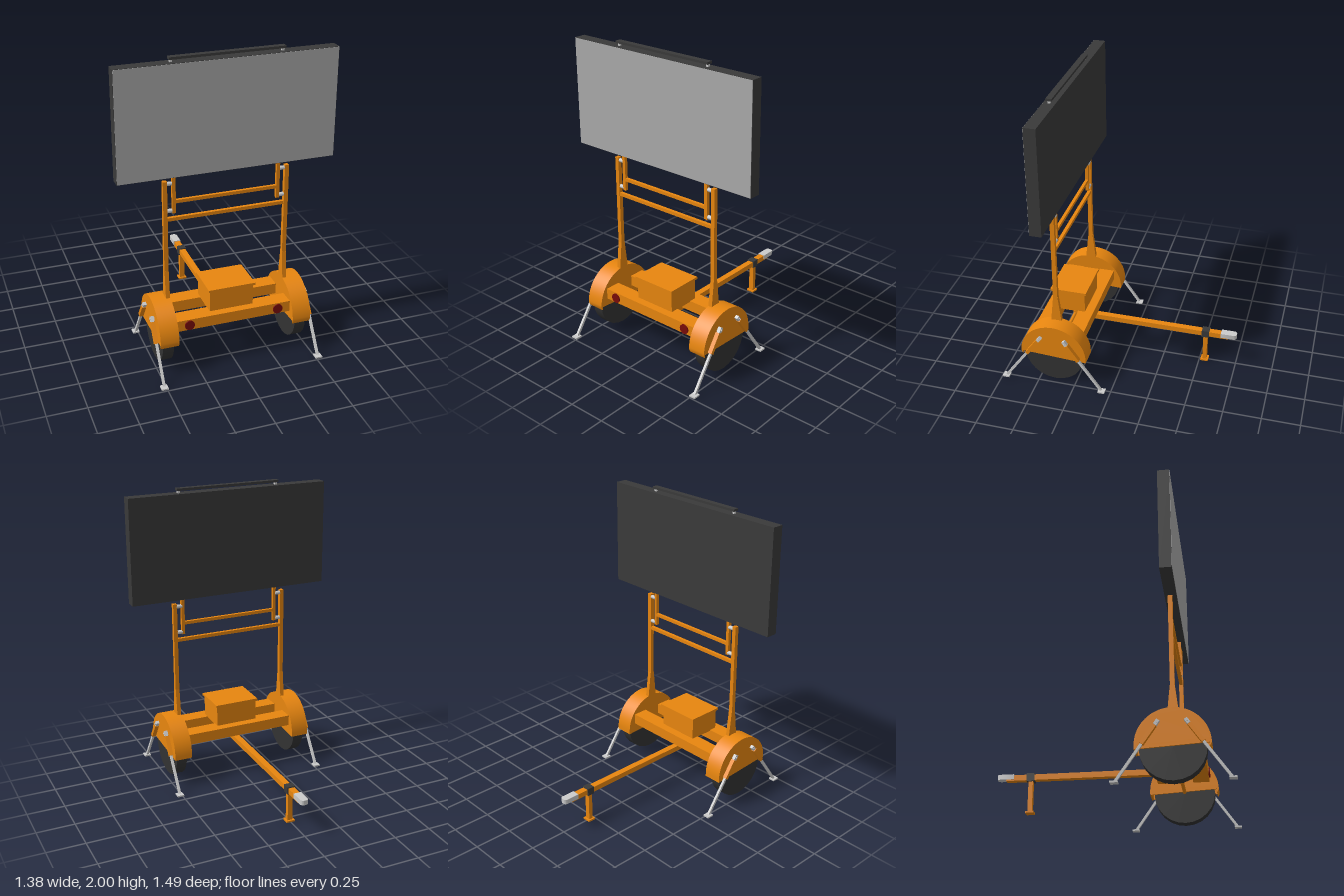
import * as THREE from 'three';
import { toCreasedNormals } from 'three/addons/utils/BufferGeometryUtils.js';

const mat = (color) => new THREE.MeshStandardMaterial({ color });
const AXLE_Z = 0.39;

export function createModel() {
  const root = new THREE.Group();
  const orange = mat(0xe8860f), dark = mat(0x3a3a3a), tyre = mat(0x333333);
  const grey = mat(0xcccccc), face = mat(0xaaaaaa), red = mat(0x7a0c08);

  const add = (name, geometry, material, parent = root) => {
    const mesh = new THREE.Mesh(geometry, material);
    mesh.name = name;
    parent.add(mesh);
    return mesh;
  };
  // Box given by its limits on each axis
  const box = (name, [x0, x1], [y0, y1], [z0, z1], material, parent) => {
    const g = new THREE.BoxGeometry(x1 - x0, y1 - y0, z1 - z0);
    g.translate((x0 + x1) / 2, (y0 + y1) / 2, (z0 + z1) / 2);
    return add(name, g, material, parent);
  };
  // Side profile drawn in (z, y), extruded along x about the given centre
  const sideExtrude = (name, shape, x, width, material, parent) => {
    let g = new THREE.ExtrudeGeometry(shape, { depth: width, bevelEnabled: false, curveSegments: 24 });
    g.translate(0, 0, -width / 2).rotateY(-Math.PI / 2).translate(x, 0, 0);
    return add(name, toCreasedNormals(g, 0.5), material, parent);
  };
  const cylinderX = (name, r, width, [x, y, z], material, parent, sides = 24) => {
    const g = new THREE.CylinderGeometry(r, r, width, sides).rotateZ(Math.PI / 2).translate(x, y, z);
    return add(name, g, material, parent);
  };

  // Half-round fender profiles: full plate and hollow rim
  const plate = new THREE.Shape();
  plate.moveTo(AXLE_Z + 0.222, 0.206);
  plate.absarc(AXLE_Z, 0.23, 0.222, 0, Math.PI, false);
  plate.lineTo(AXLE_Z - 0.222, 0.206);
  const rim = new THREE.Shape();
  rim.moveTo(AXLE_Z + 0.222, 0.206);
  rim.absarc(AXLE_Z, 0.23, 0.222, 0, Math.PI, false);
  rim.lineTo(AXLE_Z - 0.222, 0.206);
  rim.lineTo(AXLE_Z - 0.21, 0.206);
  rim.absarc(AXLE_Z, 0.23, 0.21, Math.PI, 0, true);
  rim.lineTo(AXLE_Z + 0.21, 0.206);

  // Tapered foot at the base of each mast
  const gusset = new THREE.Shape();
  [[-0.036, 0.44], [0.036, 0.44], [0.015, 0.63], [-0.015, 0.63]].forEach(([z, y], i) =>
    i ? gusset.lineTo(AXLE_Z + z, y) : gusset.moveTo(AXLE_Z + z, y));

  for (const s of [-1, 1]) {
    const span = (a, b) => (s > 0 ? [a, b] : [-b, -a]);
    const side = new THREE.Group();
    side.name = s > 0 ? 'leftSide' : 'rightSide';
    root.add(side);

    // Wheel and fender
    cylinderX('wheel', 0.196, 0.072, [s * 0.443, 0.215, AXLE_Z], tyre, side);
    sideExtrude('fenderRim', rim, s * 0.44, 0.12, orange, side);
    sideExtrude('fenderInnerPlate', plate, s * 0.385, 0.01, orange, side);
    sideExtrude('fenderOuterPlate', plate, s * 0.495, 0.01, orange, side);

    // Mast and sliding sign post
    box('mast', span(0.38, 0.407), [0.44, 1.235], [0.376, 0.404], orange, side);
    sideExtrude('mastGusset', gusset, s * 0.3935, 0.027, orange, side);
    box('signPost', span(0.326, 0.348), [1.02, 1.28], [0.379, 0.401], orange, side);
    for (const y of [1.035, 1.215])
      cylinderX('slidePin', 0.013, 0.04, [s * 0.363, y, 0.388], grey, side, 12);

    // Tail light
    const lamp = new THREE.CylinderGeometry(0.032, 0.032, 0.012, 24).rotateX(Math.PI / 2);
    lamp.translate(s * 0.295, 0.312, 0.557);
    add('tailLight', lamp, red, side);

    // Top bar bracket
    box('barBracket', span(0.336, 0.352), [1.965, 1.988], [0.382, 0.398], grey, side);

    // Slanted outriggers, one towards each end
    for (const d of [-1, 1]) {
      const leg = new THREE.Group();
      leg.name = 'outrigger';
      leg.position.set(s * 0.515, 0.36, AXLE_Z + d * 0.085);
      leg.rotation.x = -d * Math.atan2(0.245, 0.35);
      side.add(leg);
      const w = 0.008;
      box('outriggerLeg', [-w, w], [-0.422, 0.005], [-w, w], grey, leg);
      box('outriggerSleeve', [-0.015, 0.013], [-0.16, -0.025], [-0.012, 0.012], orange, leg);
      box('outriggerHead', [-0.012, 0.011], [-0.022, 0.012], [-0.011, 0.011], grey, leg);
      cylinderX('outriggerBolt', 0.006, 0.034, [0, -0.005, 0], grey, leg, 10);
      const z = AXLE_Z + d * 0.332;
      box('outriggerFoot', span(0.494, 0.538), [0.004, 0.014], [z - 0.023, z + 0.023], grey, side);
    }
  }

  // Chassis
  box('frontBeam', [-0.382, 0.382], [0.277, 0.35], [0.45, 0.555], orange);
  box('rearBeam', [-0.382, 0.382], [0.277, 0.35], [0.22, 0.325], orange);
  cylinderX('axle', 0.012, 0.84, [0, 0.223, AXLE_Z], orange, root, 16);
  add('tonguePin', new THREE.CylinderGeometry(0.008, 0.008, 0.07, 12).translate(0, 0.245, AXLE_Z), grey);

  // Battery box: open underneath, overhanging lid
  for (const s of [-1, 1]) {
    const x = s * 0.14, z = AXLE_Z + s * 0.108;
    box('boxSideWall', [x - 0.005, x + 0.005], [0.345, 0.492], [0.277, 0.503], orange);
    box('boxEndWall', [-0.145, 0.145], [0.345, 0.492], [z - 0.005, z + 0.005], orange);
  }
  box('boxLid', [-0.155, 0.155], [0.49, 0.506], [0.265, 0.515], orange);

  // Tongue, jack and coupler
  box('tongue', [-0.021, 0.021], [0.21, 0.246], [-0.69, 0.4], orange);
  box('jackCollar', [-0.027, 0.027], [0.203, 0.253], [-0.56, -0.51], dark);
  box('jackPost', [-0.017, 0.017], [0.005, 0.21], [-0.549, -0.521], orange);
  box('jackFoot', [-0.028, 0.028], [0, 0.011], [-0.561, -0.509], orange);
  const nose = new THREE.Shape();
  nose.moveTo(0.026, 0.64);
  nose.lineTo(0.026, 0.73);
  nose.quadraticCurveTo(0.022, 0.747, 0, 0.748);
  nose.quadraticCurveTo(-0.022, 0.747, -0.026, 0.73);
  nose.lineTo(-0.026, 0.64);
  const noseGeo = new THREE.ExtrudeGeometry(nose, { depth: 0.032, bevelEnabled: false });
  noseGeo.rotateX(-Math.PI / 2).translate(0, 0.219, 0);
  add('coupler', toCreasedNormals(noseGeo, 0.5), grey);

  // Mast and sign frame crossbars
  box('mastCrossbar', [-0.385, 0.385], [0.97, 0.992], [0.379, 0.401], orange);
  box('signCrossbar', [-0.33, 0.33], [1.085, 1.106], [0.38, 0.4], orange);

  // Sign board with display face and top bar
  box('signBoard', [-0.692, 0.692], [1.268, 1.968], [0.352, 0.428], dark);
  box('displayFace', [-0.69, 0.69], [1.27, 1.966], [0.426, 0.43], face);
  box('topBar', [-0.358, 0.358], [1.985, 2.0], [0.371, 0.409], dark);

  return root;
}
